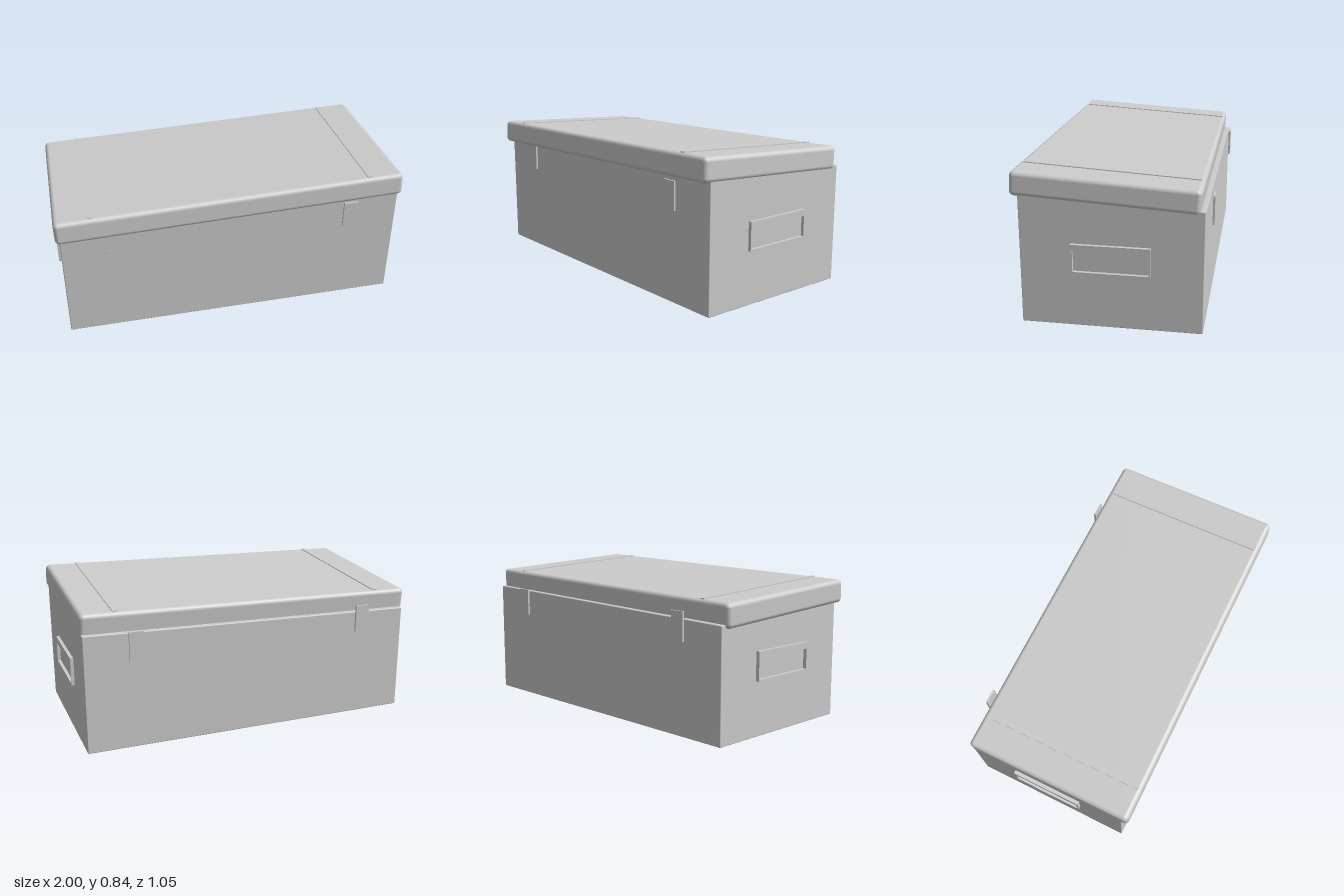
import * as THREE from 'three';
import { RoundedBoxGeometry } from 'three/addons/geometries/RoundedBoxGeometry.js';

export function createModel() {
  const model = new THREE.Group();
  model.name = 'storageChest';
  const paint = new THREE.MeshStandardMaterial({ color: 0xcccccc });
  paint.name = 'light grey';

  const add = (parent, name, geometry, x, y, z) => {
    const mesh = new THREE.Mesh(geometry, paint);
    mesh.name = name;
    mesh.position.set(x, y, z);
    parent.add(mesh);
    return mesh;
  };

  // Body: a box whose rim slopes with the tilted lid
  const bodyGeo = new RoundedBoxGeometry(1.953, 0.68, 0.97, 2, 0.005);
  bodyGeo.translate(0.001, 0.34, -0.01);
  const p = bodyGeo.attributes.position;
  for (let i = 0; i < p.count; i++) {
    if (p.getY(i) > 0.34) {
      p.setY(i, p.getY(i) + 0.025 * p.getX(i) + 0.055 * p.getZ(i));
    }
  }
  add(model, 'body', bodyGeo, 0, 0, 0);

  // Lid with two raised straps, tilted as one piece
  const lid = new THREE.Group();
  lid.name = 'lid';
  lid.position.set(-0.007, 0.7245, 0.024);
  lid.rotation.set(-0.056, 0, 0.025);
  model.add(lid);
  add(lid, 'lidShell', new RoundedBoxGeometry(1.983, 0.133, 0.992, 5, 0.026), 0, 0, 0);
  for (const s of [-1, 1]) {
    add(lid, 'lidStrap', new THREE.BoxGeometry(0.027, 0.01, 0.95), s * 0.795, 0.0665, 0);
  }

  // Latch plates standing just off the front and back
  for (const s of [-1, 1]) {
    add(model, 'frontLatch', new THREE.BoxGeometry(0.085, 0.16, 0.011), s * 0.688, 0.6, 0.496);
    add(model, 'backLatch', new THREE.BoxGeometry(0.085, 0.16, 0.011), s * 0.688, 0.6, -0.517);
  }

  // Side handles: open rectangular frames with a wide top bar
  const rect = (path, x0, y0, x1, y1) =>
    path.moveTo(x0, y0).lineTo(x1, y0).lineTo(x1, y1).lineTo(x0, y1).closePath();
  const frame = new THREE.Shape();
  rect(frame, -0.21, 0.305, 0.21, 0.467);
  const hole = new THREE.Path();
  rect(hole, -0.2, 0.315, 0.2, 0.43);
  frame.holes.push(hole);
  const handleGeo = new THREE.ExtrudeGeometry(frame, { depth: 0.024, bevelEnabled: false });
  handleGeo.translate(0, 0, -0.024);
  for (const s of [-1, 1]) {
    const handle = add(model, s > 0 ? 'leftHandle' : 'rightHandle', handleGeo, s * 0.996, 0, -0.01);
    handle.rotation.y = s * Math.PI / 2;
  }

  return model;
}
